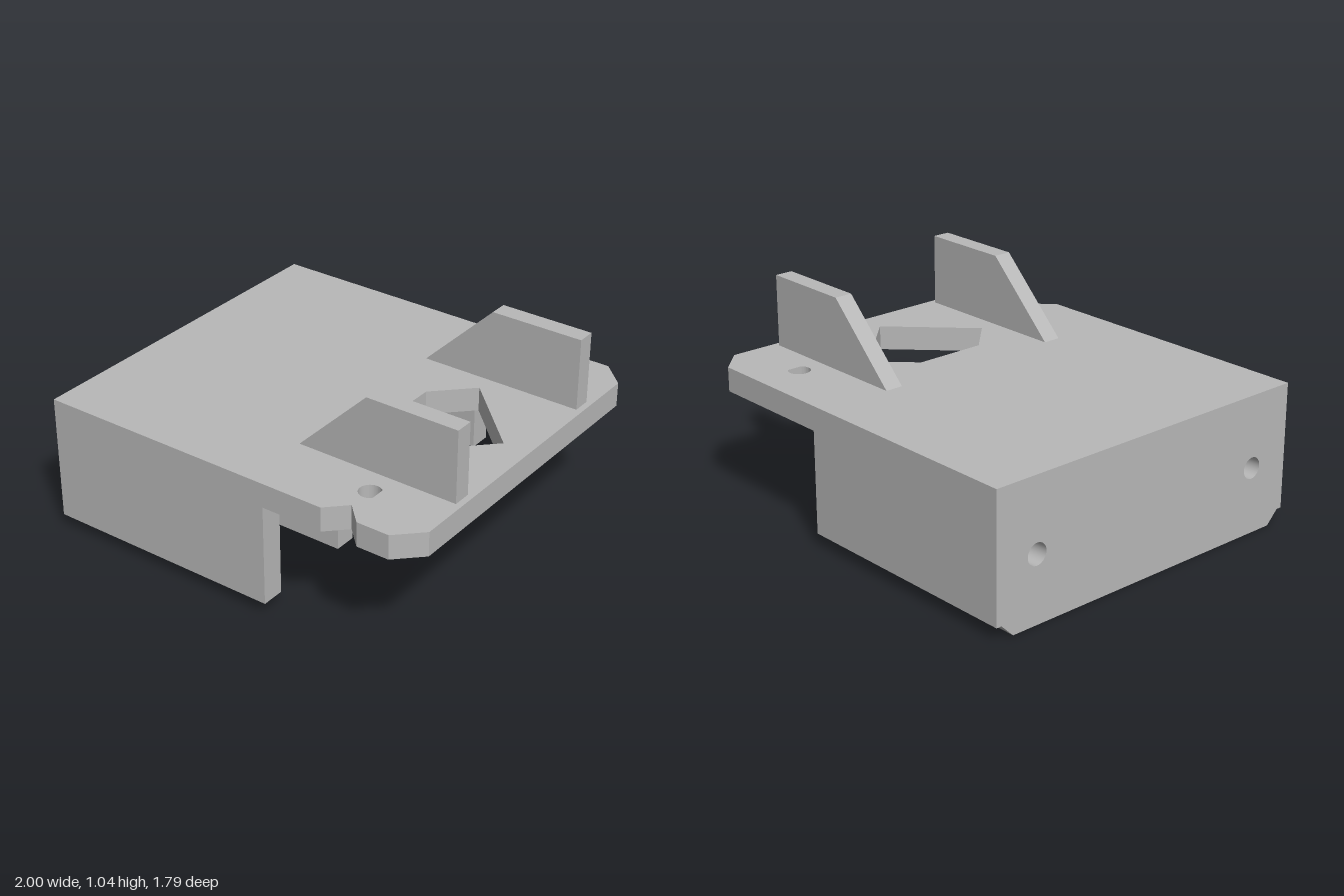
import * as THREE from 'three';
import { toCreasedNormals } from 'three/addons/utils/BufferGeometryUtils.js';

const HALF = 0.895; // half depth
const WALL_X = -0.82; // inner face of the end wall
const PLATE_Y = 0.57, TOP_Y = 0.69; // deck underside and top
const RIB_Y = 0.065; // underside of the ribs

const outline = (pts) => new THREE.Shape(pts.map(([x, y]) => new THREE.Vector2(x, y)));

function polygon(cx, cy, r, sides) {
  const pts = [];
  for (let i = 0; i < sides; i++) {
    const a = (i / sides) * Math.PI * 2;
    pts.push([cx + r * Math.cos(a), cy + r * Math.sin(a)]);
  }
  return outline(pts);
}

// Round hole with a point towards +x
function teardrop(cx, cy, r) {
  const path = new THREE.Path();
  path.moveTo(cx + r * Math.SQRT2, cy);
  path.absarc(cx, cy, r, Math.PI / 4, Math.PI * 1.75, false);
  path.closePath();
  return path;
}

function extrude(shape, depth) {
  const geo = new THREE.ExtrudeGeometry(shape, { depth, bevelEnabled: false, curveSegments: 28 });
  return toCreasedNormals(geo, 0.5);
}

export function createModel() {
  const group = new THREE.Group();
  const grey = new THREE.MeshStandardMaterial({ color: 0xb8b8b8 });
  grey.name = 'grey plastic';
  const add = (name, geo) => {
    const mesh = new THREE.Mesh(geo, grey);
    mesh.name = name;
    group.add(mesh);
  };

  // Deck with clipped corners, edge notch, pentagon opening and two teardrop holes
  const deck = outline([
    [-1, -HALF], [0.88, -HALF], [1, -0.777], [1, 0.777], [0.88, HALF],
    [0.718, HALF], [0.625, 0.802], [0.532, HALF], [-1, HALF],
  ]);
  deck.holes.push(outline([[0.328, -0.18], [0.505, -0.357], [0.864, 0], [0.505, 0.357], [0.328, 0.18]]));
  for (const s of [-1, 1]) deck.holes.push(teardrop(0.625, s * 0.67, 0.053));
  add('deck', extrude(deck, TOP_Y - PLATE_Y).rotateX(Math.PI / 2).translate(0, TOP_Y, 0));

  // End wall in two layers: round bolt holes outside, hexagonal nut pockets inside
  const half = (-1 - WALL_X) / -2;
  const layers = [['endWallOuter', -1, 0.053, 28], ['endWallInner', -1 + half, 0.1, 6]];
  for (const [name, x, radius, sides] of layers) {
    const wall = outline([
      [-0.803, 0], [0.803, 0], [0.868, RIB_Y], [HALF, RIB_Y],
      [HALF, PLATE_Y], [-HALF, PLATE_Y], [-HALF, RIB_Y], [-0.868, RIB_Y],
    ]);
    for (const s of [-1, 1]) wall.holes.push(polygon(s * 0.67, 0.33, radius, sides));
    add(name, extrude(wall, half).rotateY(Math.PI / 2).translate(x, 0, 0));
  }

  const fin = outline([[0.145, TOP_Y], [0.97, TOP_Y], [0.97, 1.045], [0.505, 1.045]]);
  const ribLength = 0.22 - WALL_X;
  for (const s of [-1, 1]) {
    const side = s > 0 ? 'front' : 'back';
    // Ribs under the deck
    for (const [name, z] of [['OuterRib', 0.8375], ['InnerRib', 0.3]]) {
      const rib = new THREE.BoxGeometry(ribLength, PLATE_Y - RIB_Y, 0.115);
      add(side + name, rib.translate(WALL_X + ribLength / 2, (PLATE_Y + RIB_Y) / 2, s * z));
    }
    // Sloped fin on top
    add(side + 'Fin', extrude(fin, 0.09).translate(0, 0, s * 0.492 - 0.045));
  }
  return group;
}
